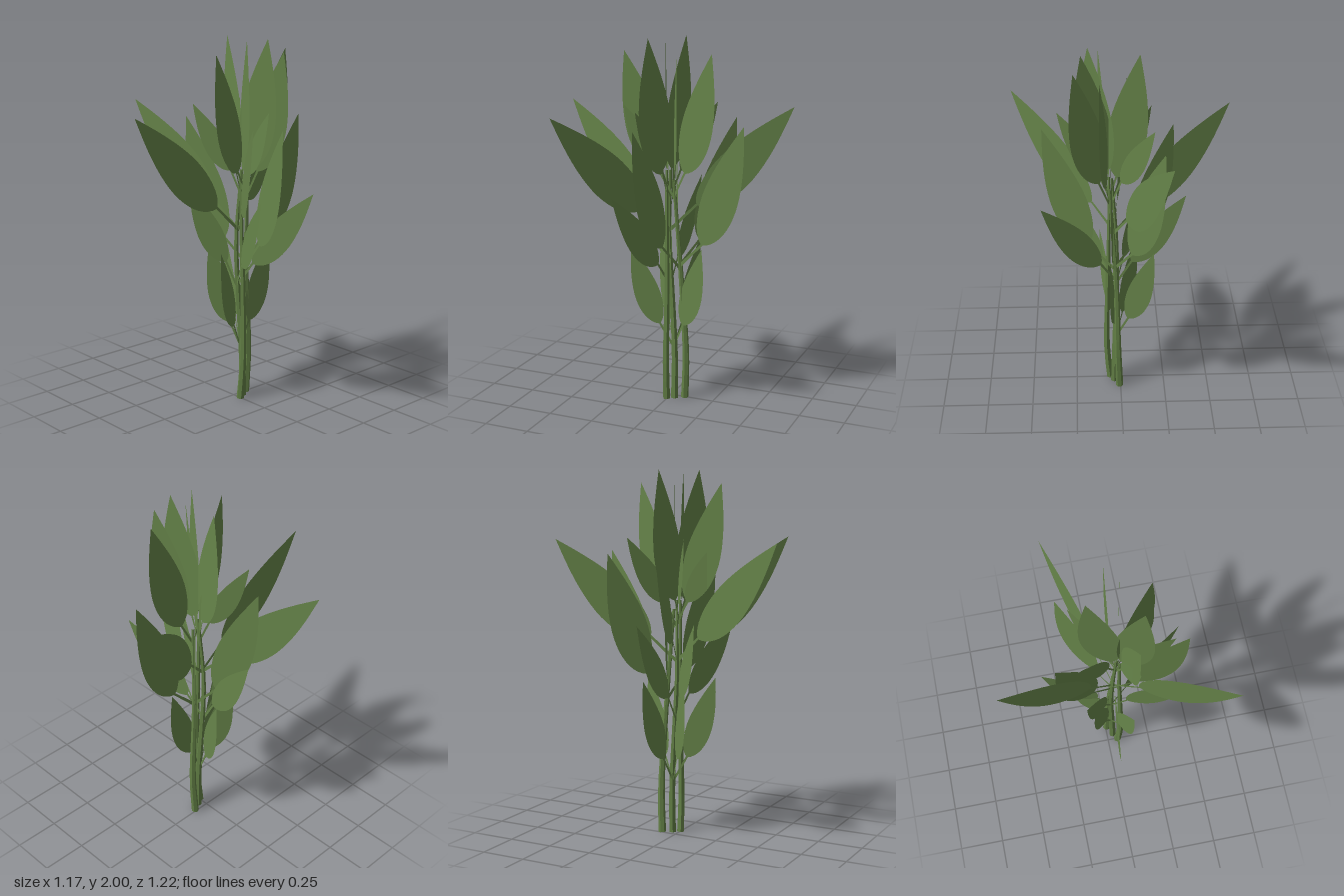
import * as THREE from 'three';

const leafGreen = new THREE.MeshStandardMaterial({ color: 0x67854a, side: THREE.DoubleSide });
leafGreen.name = 'leaf green';
const stemGreen = new THREE.MeshStandardMaterial({ color: 0x627f45, flatShading: true });
stemGreen.name = 'stem green';

// Stems: points from the ground to the tip
const stems = {
  front: [[0.057, 0, 0.003], [0.075, 0.2, 0], [0.07, 0.6, -0.005], [0.06, 1.05, 0], [0.06, 1.3, 0]],
  middle: [[0.035, 0, -0.035], [0.03, 0.25, -0.035], [0.02, 0.6, -0.015], [0.02, 0.9, 0], [0.045, 1.3, -0.015]],
  back: [[0.006, 0, -0.085], [0.015, 0.25, -0.095], [0.025, 0.7, -0.07], [0.06, 1.25, -0.04]],
};

// Leaf tiers: stem, height of leaf base, height of tip, how far out the base sits, tips as [x, z]
const tiers = [
  ['middle', 0.43, 0.88, 0.33, [[-0.18, -0.1], [0.11, 0.19], [-0.09, 0.1], [0.06, -0.2]]],
  ['middle', 0.78, 1.2, 0.22, [[0.42, -0.18], [0.39, 0.17], [-0.15, 0.19], [-0.35, -0.04]]],
  ['back', 0.9, 1.56, 0.37, [[0.41, 0.04], [0.06, -0.43], [-0.285, 0.09], [-0.22, -0.29]]],
  ['middle', 1.1, 1.63, 0.22, [[0.585, 0.41], [-0.24, -0.605], [-0.59, 0.2], [-0.06, 0.615]]],
  ['middle', 1.29, 1.645, 0.22, [[0.33, 0.06], [0.12, 0.22], [-0.17, 0.14], [-0.17, -0.2]]],
  ['back', 1.29, 1.93, 0.3, [[0.11, 0.22], [0.11, -0.27], [0.24, -0.13]]],
  ['front', 1.3, 2.0, 0.25, [[0.2, -0.055], [0.165, 0.06], [-0.1, -0.045]]],
];

// Tapered tube along a curve
function taperedTube(curve, segments, r0, r1, sides) {
  const geo = new THREE.TubeGeometry(curve, segments, 1, sides, false);
  const pos = geo.attributes.position;
  const p = new THREE.Vector3();
  for (let i = 0; i < pos.count; i++) {
    const t = Math.floor(i / (sides + 1)) / segments;
    const c = curve.getPointAt(t);
    p.fromBufferAttribute(pos, i).sub(c).multiplyScalar(r0 + (r1 - r0) * t).add(c);
    pos.setXYZ(i, p.x, p.y, p.z);
  }
  geo.computeVertexNormals();
  return geo;
}

// Flat pointed leaf: base at the origin, tip at y = 1, fuller on the outer (-x) side
function leafShape() {
  const s = new THREE.Shape();
  s.moveTo(0, 0);
  s.bezierCurveTo(0.08, 0.04, 0.13, 0.2, 0.13, 0.38);
  s.bezierCurveTo(0.13, 0.58, 0.05, 0.84, 0, 1);
  s.bezierCurveTo(-0.06, 0.84, -0.14, 0.64, -0.16, 0.42);
  s.bezierCurveTo(-0.175, 0.22, -0.12, 0.05, 0, 0);
  return new THREE.ShapeGeometry(s, 10);
}

// Flat tapering stalk from the origin to (x, y)
function stalkShape(x, y) {
  const s = new THREE.Shape();
  s.moveTo(0, -0.008);
  s.lineTo(x + 0.004, y);
  s.lineTo(x - 0.004, y + 0.01);
  s.lineTo(0, 0.018);
  return new THREE.ShapeGeometry(s);
}

// Point of a curve at a given height
function atHeight(curve, y) {
  let lo = 0, hi = 1;
  for (let i = 0; i < 20; i++) {
    const m = (lo + hi) / 2;
    if (curve.getPointAt(m).y < y) lo = m; else hi = m;
  }
  return curve.getPointAt(lo);
}

export function createModel() {
  const plant = new THREE.Group();
  plant.name = 'leafyPlant';
  const curves = {};

  for (const [name, pts] of Object.entries(stems)) {
    const curve = curves[name] = new THREE.CatmullRomCurve3(pts.map(p => new THREE.Vector3(...p)));
    const stem = new THREE.Mesh(taperedTube(curve, 12, 0.021, 0.008, 6), stemGreen);
    stem.name = name + 'Stem';
    plant.add(stem);
    // Cut end of the stem
    const cap = new THREE.Mesh(new THREE.CircleGeometry(0.021, 6).rotateX(Math.PI / 2), stemGreen);
    cap.name = name + 'StemEnd';
    cap.position.copy(curve.getPointAt(0)).setY(0.001);
    plant.add(cap);
  }

  const leafGeo = leafShape();
  const up = new THREE.Vector3(0, 1, 0);
  for (const [stemName, baseY, tipY, out, tips] of tiers) {
    const tier = new THREE.Group();
    tier.name = 'leafTier';
    const centre = atHeight(curves[stemName], baseY);
    for (const [x, z] of tips) {
      const tip = new THREE.Vector3(x, tipY, z);
      const base = centre.clone().lerp(tip, out).setY(baseY);

      // Blade stands in the upright plane through its stalk
      const along = tip.clone().sub(base);
      const length = along.length();
      along.normalize();
      const normal = new THREE.Vector3(along.z, 0, -along.x).normalize();
      const across = along.clone().cross(normal);
      const leaf = new THREE.Mesh(leafGeo, leafGreen);
      leaf.name = 'leaf';
      leaf.quaternion.setFromRotationMatrix(new THREE.Matrix4().makeBasis(across, along, normal));
      leaf.scale.setScalar(length);
      leaf.position.copy(base);

      // Stalk lies in the same plane and rises from the stem to the blade
      const outward = new THREE.Vector3(along.x, 0, along.z).normalize();
      const reach = Math.hypot(base.x - centre.x, base.z - centre.z);
      const drop = 0.14;
      const stalk = new THREE.Mesh(stalkShape(reach, drop), leafGreen);
      stalk.name = 'leafStalk';
      stalk.quaternion.setFromRotationMatrix(
        new THREE.Matrix4().makeBasis(outward, up, outward.clone().cross(up)));
      stalk.position.copy(centre).setY(baseY - drop);
      tier.add(leaf, stalk);
    }
    plant.add(tier);
  }
  return plant;
}
